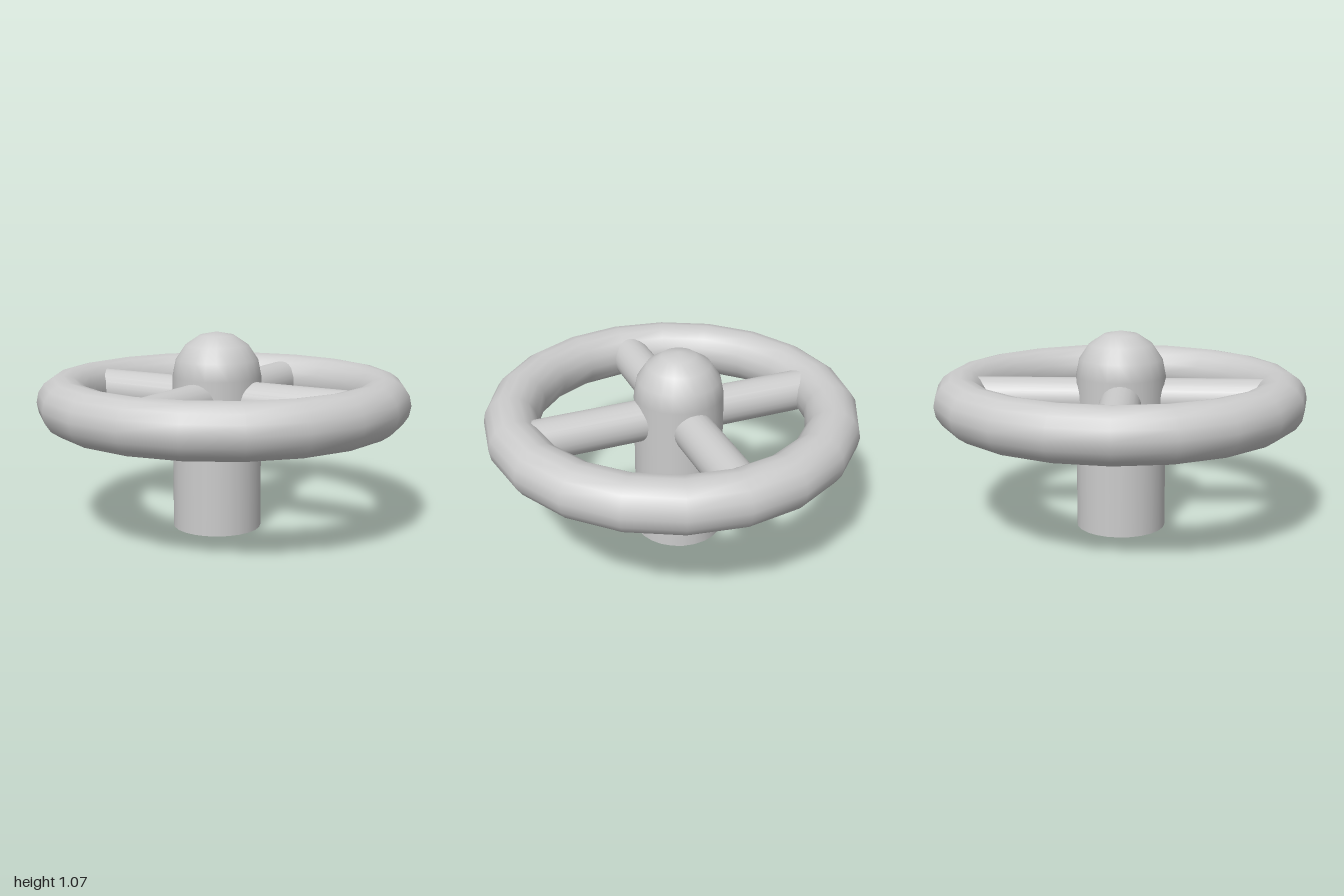
import * as THREE from 'three';

export function createModel() {
  const group = new THREE.Group();
  const material = new THREE.MeshStandardMaterial({ color: 0xcccccc });
  const hubX = -0.04, hubZ = 0.005, wheelY = 0.705;

  const add = (name, geometry, x, y, z) => {
    const mesh = new THREE.Mesh(geometry, material);
    mesh.name = name;
    mesh.position.set(x, y, z);
    group.add(mesh);
    return mesh;
  };

  // Hand wheel rim, a 20-sided ring lying flat
  const rim = new THREE.TorusGeometry(0.857, 0.143, 16, 20).rotateX(Math.PI / 2);
  add('rim', rim, 0, wheelY, 0);

  // Central post with a domed cap
  add('post', new THREE.CylinderGeometry(0.24, 0.24, 0.83, 24), hubX, 0.415, hubZ);
  const dome = new THREE.SphereGeometry(0.24, 24, 4, 0, Math.PI * 2, 0, Math.PI / 2);
  add('dome', dome, hubX, 0.83, hubZ);

  // Two crossing bars form the four spokes, ending inside the rim
  const bar = new THREE.CylinderGeometry(0.11, 0.11, 1.7, 24);
  add('sideSpokes', bar, 0, wheelY, 0.01).rotation.z = Math.PI / 2;
  add('frontBackSpokes', bar, hubX, wheelY, 0).rotation.x = Math.PI / 2;

  return group;
}
